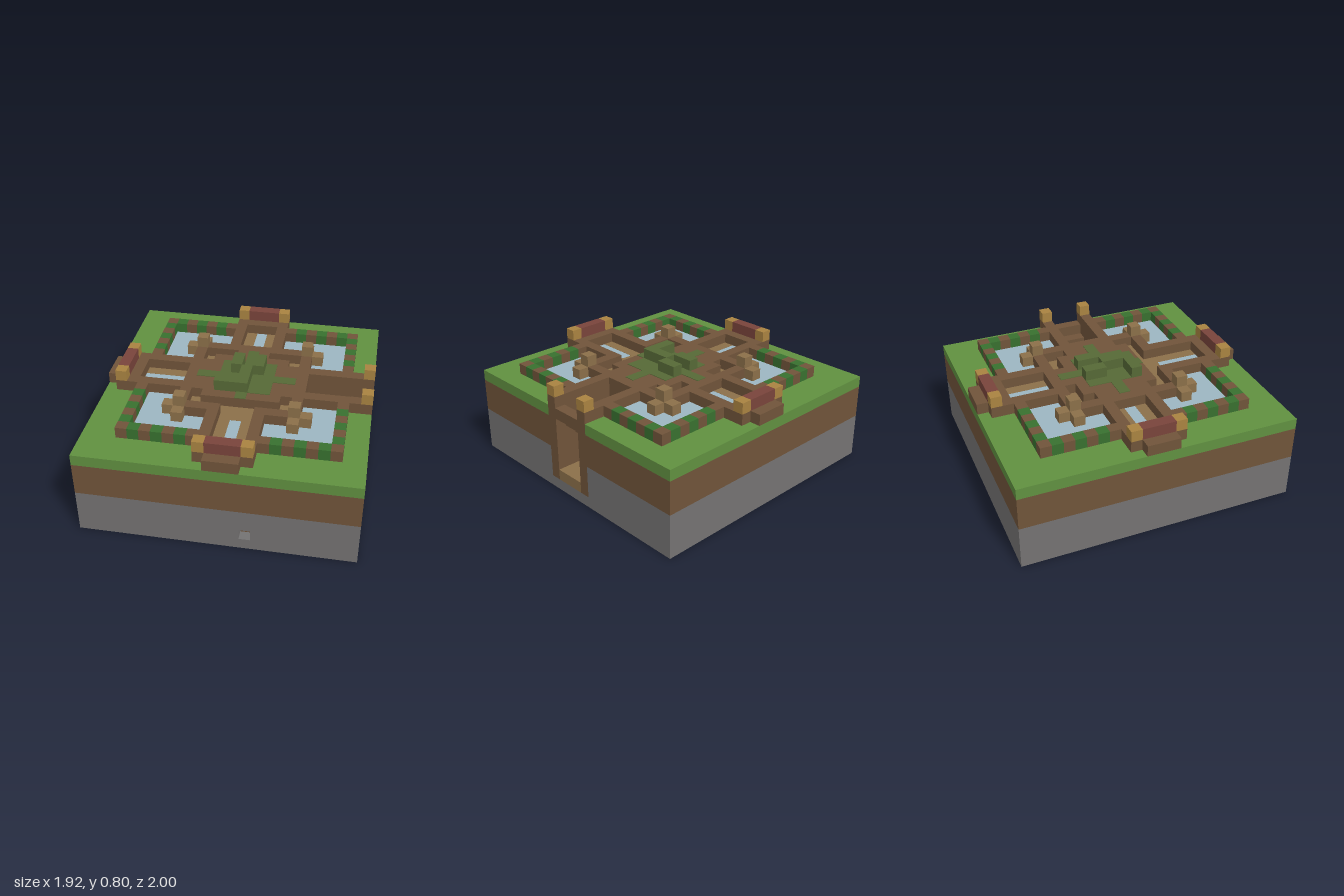
import * as THREE from 'three';

const mat = (name, color) => {
  const m = new THREE.MeshStandardMaterial({ color });
  m.name = name;
  return m;
};

export function createModel() {
  const grass = mat('grass', 0x609040), soil = mat('soil', 0x70543a), stone = mat('stone', 0x747272);
  const tan = mat('tan', 0x8b6f49), water = mat('water', 0x9cb6c1), brick = mat('brick', 0x79443b);
  const lamp = mat('lamp', 0xa98341), leaf = mat('leaf', 0x38702f), moss = mat('moss', 0x566936);

  const root = new THREE.Group();
  root.name = 'gardenBlock';
  const V = 0.08;               // cube size
  const G = 0.64, W = 0.72, T = 0.8; // ground, wall and post tops
  const CX = 0.04;              // x of the garden's centre

  // Box between two corners, in model coordinates
  const box = (name, m, x0, x1, y0, y1, z0, z1) => {
    const mesh = new THREE.Mesh(new THREE.BoxGeometry(x1 - x0, y1 - y0, z1 - z0), m);
    mesh.position.set((x0 + x1) / 2, (y0 + y1) / 2, (z0 + z1) / 2);
    mesh.name = name;
    root.add(mesh);
  };
  // Same, with x measured from the garden's centre
  const gbox = (name, m, u0, u1, y0, y1, z0, z1) => box(name, m, u0 + CX, u1 + CX, y0, y1, z0, z1);
  // Copies mirrored across both garden axes
  const quad = (name, m, u0, u1, y0, y1, z0, z1) => {
    for (const s of [-1, 1]) for (const t of [-1, 1])
      gbox(name, m, Math.min(s * u0, s * u1), Math.max(s * u0, s * u1), y0, y1,
        Math.min(t * z0, t * z1), Math.max(t * z0, t * z1));
  };

  // Ground layers, leaving a slot for the stairs on the +x side
  const upper = (x0, x1, z0, z1) => {
    box('soilLayer', soil, x0, x1, 0.32, 0.56, z0, z1);
    box('grassLayer', grass, x0, x1, 0.56, G, z0, z1);
  };
  upper(-0.96, 0.48, -1, 1);
  upper(0.48, 0.96, -1, -0.2);
  upper(0.48, 0.96, 0.2, 1);
  box('stoneLayer', stone, -0.96, 0.48, 0, 0.32, -1, 0.92);
  box('stoneLayer', stone, 0.48, 0.96, 0, 0.32, -1, -0.2);
  box('stoneLayer', stone, 0.48, 0.96, 0, 0.32, 0.2, 1);
  box('stoneUnderStairs', stone, 0.48, 0.96, 0, 0.08, -0.2, 0.2);

  // Stone front with a small square hole
  box('stoneFront', stone, -0.96, 0.16, 0, 0.32, 0.92, 1);
  box('stoneFront', stone, 0.24, 0.48, 0, 0.32, 0.92, 1);
  box('stoneFront', stone, 0.16, 0.24, 0, 0.08, 0.92, 1);
  box('stoneFront', stone, 0.16, 0.24, 0.16, 0.32, 0.92, 1);
  box('holeBack', soil, 0.16, 0.24, 0.08, 0.16, 0.92, 0.925);

  // Four round spots under the base
  for (const u of [-V, V]) for (const z of [-V, V]) {
    const spot = new THREE.Mesh(new THREE.CircleGeometry(0.042, 8), water);
    spot.rotation.x = Math.PI / 2;
    spot.position.set(CX + u, -0.001, z);
    spot.name = 'baseSpot';
    root.add(spot);
  }

  // Staircase going down inwards from the +x edge
  box('stairFloor', tan, 0.48, 0.96, 0.08, 0.16, -0.12, 0.12);
  box('stairBackWall', soil, 0.48, 0.484, 0.16, W, -0.12, 0.12);
  for (let i = 0; i < 6; i++)
    box('stairStep', soil, 0.88 - i * V, 0.96 - i * V, 0.56 - i * V, G - i * V, -0.12, 0.12);
  for (const z of [-0.2, 0.12]) {
    box('stairSideWall', soil, 0.48, 0.96, 0.08, W, z, z + V);
    box('stairPost', lamp, 0.88, 0.96, W, T, z, z + V);
  }

  // Pools and their rims of alternating soil and leaf cubes
  quad('pool', water, 0.2, 0.68, G, G + 0.005, 0.2, 0.68);
  for (let i = 0; i < 7; i++) {
    const m = i % 2 ? leaf : soil;
    quad('poolRim', m, 0.76 - i * V, 0.68 - i * V, G, W, 0.68, 0.76);
    if (i) quad('poolRim', m, 0.68, 0.76, G, W, 0.76 - i * V, 0.68 - i * V);
  }

  // Channels with banks, for front, back and -x sides
  quad('channelWall', soil, 0.12, 0.2, G, W, 0.44, 0.84);
  quad('channelBank', tan, 0.04, 0.12, G, G + 0.006, 0.44, 0.76);
  for (const z of [-0.76, 0.44]) gbox('channelWater', water, -0.04, 0.04, G, G + 0.005, z, z + 0.32);
  for (const s of [-1, 1]) {
    const z0 = s * 0.16;
    gbox('channelWall', soil, -0.84, -0.44, G, W, z0 - 0.04, z0 + 0.04);
    gbox('channelBank', tan, -0.76, -0.44, G, G + 0.006, s * V - 0.04, s * V + 0.04);
  }
  gbox('channelWater', water, -0.76, -0.44, G, G + 0.005, -0.04, 0.04);

  // Gates: end wall, brick lintel between lamp posts, outer step
  for (const s of [-1, 1]) {
    const row = (name, m, half, y0, y1, z) => gbox(name, m, -half, half, y0, y1, s * z - 0.04, s * z + 0.04);
    row('gateEndWall', soil, 0.12, G, W, 0.8);
    row('gateBase', soil, 0.2, G, W, 0.88);
    row('gateBrick', brick, 0.12, W, T, 0.88);
    row('gateStep', soil, 0.12, G, W, 0.96);
  }
  quad('gatePost', lamp, 0.12, 0.2, W, T, 0.84, 0.92);
  box('gateEndWall', soil, -0.8, -0.72, G, W, -0.12, 0.12);
  box('gateBase', soil, -0.88, -0.8, G, W, -0.2, 0.2);
  box('gateBrick', brick, -0.88, -0.8, W, T, -0.12, 0.12);
  box('gateStep', soil, -0.96, -0.88, G, W, -0.12, 0.12);
  for (const z of [-0.2, 0.12]) box('gatePost', lamp, -0.88, -0.8, W, T, z, z + V);

  // Central platform, its corner troughs and outer walls
  gbox('platform', soil, -0.44, 0.44, G, W, -0.2, 0.2);
  for (const z of [-0.28, 0.2]) gbox('platform', soil, -0.28, 0.28, G, W, z, z + V);
  gbox('platformBridge', soil, -0.12, 0.12, G, W, -0.44, -0.28);
  gbox('platformTrough', tan, -0.12, 0.12, G, G + 0.006, 0.28, 0.44);
  quad('cornerTrough', tan, 0.28, 0.36, G, G + 0.006, 0.2, 0.36);
  quad('cornerTrough', tan, 0.12, 0.28, G, G + 0.006, 0.28, 0.36);
  quad('cornerWall', soil, 0.12, 0.36, G, W, 0.36, 0.44);
  quad('cornerWall', soil, 0.36, 0.44, G, W, 0.2, 0.36);

  // Corner pillars with two lower buttresses
  quad('pillar', tan, 0.36, 0.44, G, T, 0.36, 0.44);
  quad('pillarButtress', tan, 0.44, 0.52, G, W, 0.36, 0.44);
  quad('pillarButtress', tan, 0.36, 0.44, G, W, 0.44, 0.52);

  // Moss cross laid on the platform
  const H = W + 0.004;
  gbox('mossPatch', moss, -0.2, 0.2, W, H, -0.2, 0.2);
  gbox('mossArm', moss, -0.36, -0.2, W, H, -0.04, 0.04);
  gbox('mossArm', moss, 0.2, 0.36, W, H, -0.04, 0.04);
  gbox('mossArm', moss, -0.04, 0.04, W, H, -0.36, -0.2);
  gbox('mossArm', moss, -0.04, 0.04, W, H, 0.2, 0.28);

  // Raised moss blocks in the middle
  box('mossBlock', moss, -0.16, 0, W, T, 0.12, 0.2);
  box('mossBlock', moss, 0, 0.08, W, T, -0.04, 0.2);
  box('mossBlock', moss, 0.08, 0.16, W, T, -0.2, -0.04);
  box('mossBlock', moss, -0.08, 0, W, T, -0.2, -0.04);

  return root;
}
